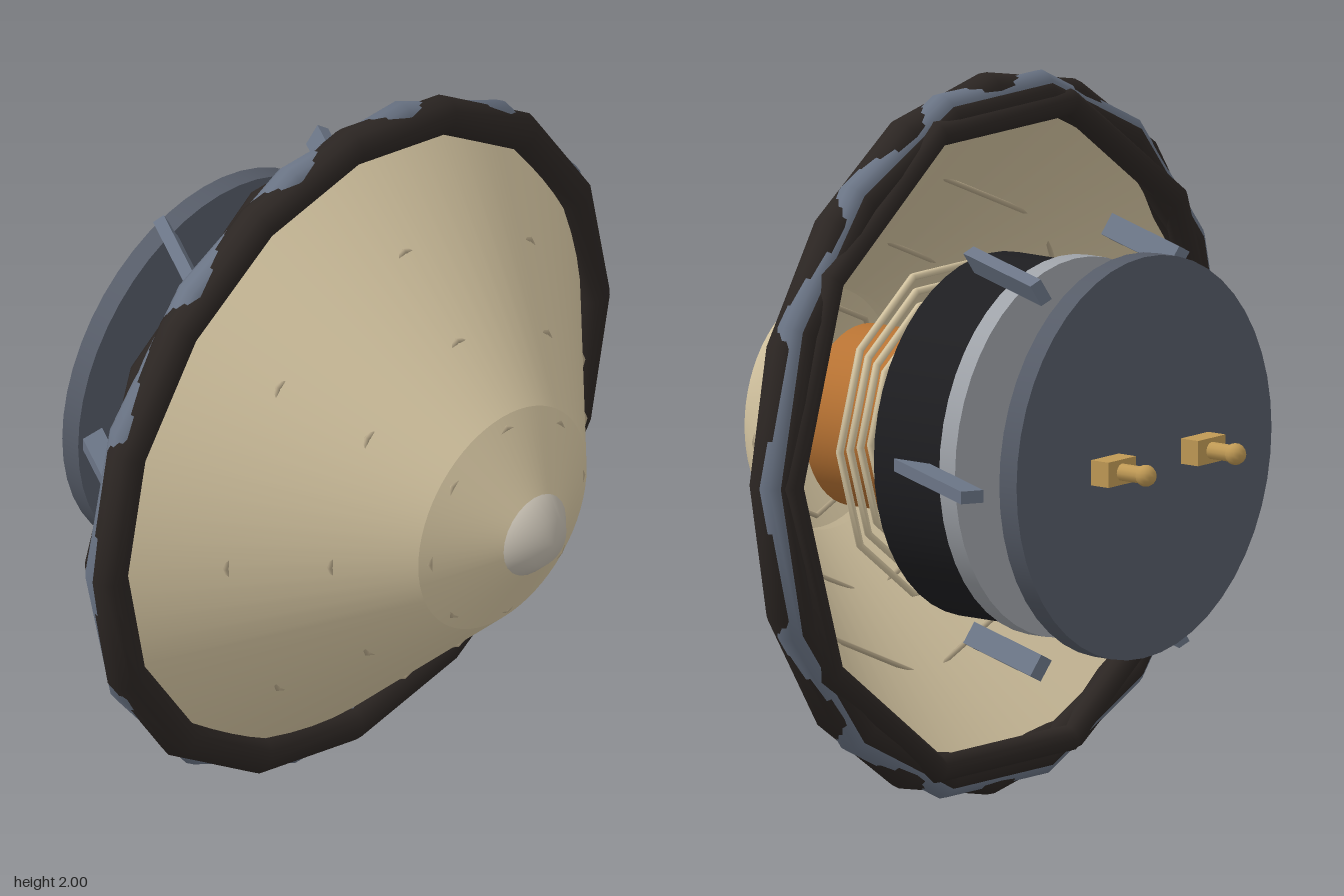
import * as THREE from 'three';

export function createModel() {
  const model = new THREE.Group();
  const driver = new THREE.Group();
  driver.name = 'speakerDriver';
  driver.position.y = 1; // the speaker axis runs along z at this height
  model.add(driver);

  const mat = (color, side = THREE.FrontSide) => new THREE.MeshStandardMaterial({ color, side });
  const paper = mat(0xd6c6a2, THREE.DoubleSide);
  const rubber = mat(0x2c2623);
  const steel = mat(0x6a7485);
  const slate = mat(0x565c68);
  const magnetBlack = mat(0x1e1e21);
  const plateGrey = mat(0xa0a4aa);
  const copper = mat(0xb87333, THREE.DoubleSide);
  const brass = mat(0xc09a55);
  const ribTan = mat(0xb5a688);

  const add = (name, geometry, material, x = 0, y = 0, z = 0, parent = driver) => {
    const mesh = new THREE.Mesh(geometry, material);
    mesh.name = name;
    mesh.position.set(x, y, z);
    parent.add(mesh);
    return mesh;
  };
  const ring = (name, radius, tube, sides, z, material, round = 12) =>
    add(name, new THREE.TorusGeometry(radius, tube, round, sides), material, 0, 0, z);
  // cylinder along z between two depths
  const disc = (name, radius, z0, z1, material, open = false) =>
    add(name, new THREE.CylinderGeometry(radius, radius, Math.abs(z1 - z0), 48, 1, open).rotateX(Math.PI / 2),
      material, 0, 0, (z0 + z1) / 2);
  // lathe profile given as [radius, z]
  const lathe = (name, points, material) =>
    add(name, new THREE.LatheGeometry(points.map(p => new THREE.Vector2(...p)), 64).rotateX(Math.PI / 2), material);

  // paper cone: outer and inner faces, then the shallower centre cone and cap
  lathe('coneFront', [[0.9, -0.005], [0.33, 0.565]], paper);
  lathe('coneBack', [[0.9, -0.04], [0.33, 0.53]], paper);
  lathe('centreCone', [[0.33, 0.565], [0.12, 0.685]], paper);
  add('dustCap', new THREE.SphereGeometry(0.138, 24, 6).rotateX(Math.PI / 2), mat(0xc2bbae), 0, 0, 0.62);

  // eight-sided cone ribs whose corners just reach the front
  for (const radius of [0.3, 0.5, 0.7])
    ring('coneRib', radius, 0.008, 8, radius < 0.4 ? 0.578 : 0.894 - radius, ribTan, 6);

  // rolled edge and basket rim
  ring('surround', 0.945, 0.055, 16, -0.013, rubber);
  ring('basketRim', 0.952, 0.048, 14, -0.027, steel);
  ring('gasket', 0.935, 0.043, 14, -0.045, rubber);
  ring('rearGasket', 0.925, 0.038, 10, -0.068, rubber);

  // spider rings around the voice coil
  for (let i = 0; i < 5; i++) ring('spiderRing', 0.28 + i * 0.045, 0.011, 10, 0.13, paper, 6);
  disc('voiceCoil', 0.25, -0.02, 0.42, copper, true);

  // motor
  disc('magnet', 0.5, -0.02, -0.27, magnetBlack);
  disc('magnetPlate', 0.522, -0.265, -0.32, plateGrey);
  disc('backPlate', 0.555, -0.5, -0.56, slate);

  // six basket struts, all leaning the same way
  for (let i = 0; i < 6; i++) {
    const a = i * Math.PI / 3;
    const strut = add('basketStrut', new THREE.BoxGeometry(0.065, 0.035, 0.5), steel,
      0.6 * Math.cos(a), 0.6 * Math.sin(a), -0.325);
    strut.rotation.set(0, -Math.PI / 6, a);
    strut.rotation.order = 'YXZ';
  }

  // pair of terminals
  for (const x of [-0.195, 0.195]) {
    const terminal = new THREE.Group();
    terminal.name = 'terminal';
    terminal.position.x = x;
    driver.add(terminal);
    add('terminalBase', new THREE.BoxGeometry(0.12, 0.07, 0.06), brass, 0, 0, -0.61, terminal);
    add('terminalPost', new THREE.CylinderGeometry(0.024, 0.024, 0.09, 12).rotateX(Math.PI / 2), brass, 0, 0, -0.68, terminal);
    add('terminalKnob', new THREE.SphereGeometry(0.03, 12, 8), brass, 0, 0, -0.722, terminal);
  }
  return model;
}
